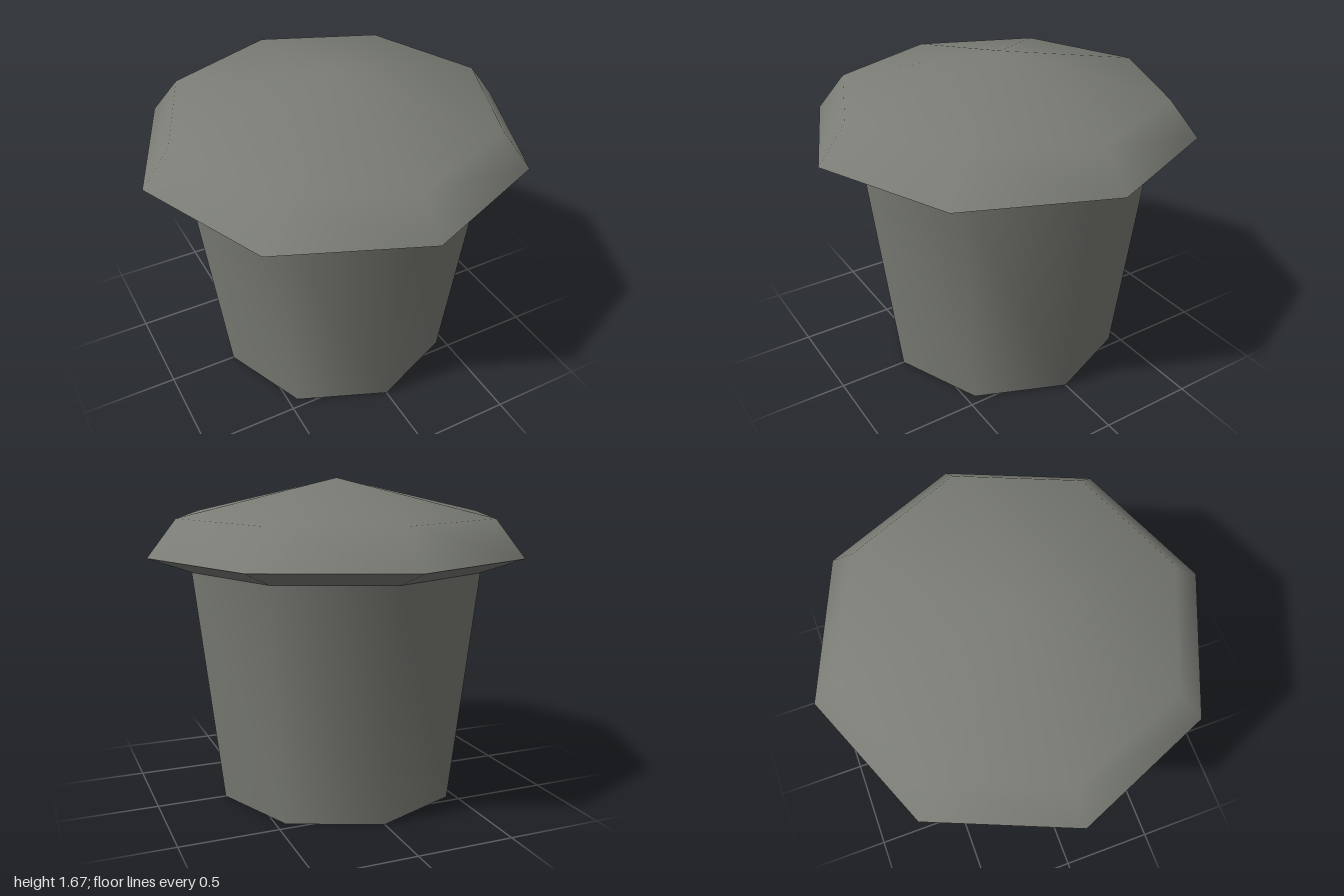
import * as THREE from 'three';
import { mergeVertices } from 'three/addons/utils/BufferGeometryUtils.js';

const SIDES = 8;

// Revolve a bottom-to-top [radius, y] profile, with smooth normals within the piece.
function turned(name, profile, material) {
  let geometry = new THREE.LatheGeometry(profile.map(([r, y]) => new THREE.Vector2(r, y)), SIDES);
  geometry.deleteAttribute('normal');
  geometry.deleteAttribute('uv');
  geometry = mergeVertices(geometry, 1e-4);
  geometry.computeVertexNormals();
  const mesh = new THREE.Mesh(geometry, material);
  mesh.name = name;
  return mesh;
}

export function createModel() {
  const group = new THREE.Group();
  group.name = 'cappedPost';
  const stone = new THREE.MeshStandardMaterial({ color: 0x7a7c75 });
  stone.name = 'grey stone';

  group.add(
    // Tapered body and its flat base
    turned('base', [[0, 0], [0.64, 0]], stone),
    turned('body', [[0.64, 0], [0.78, 1.215]], stone),
    // Overhanging cap: sloped underside, bevelled rim and low peak
    turned('capUnderside', [[0.78, 1.215], [1, 1.295]], stone),
    turned('cap', [[1, 1.295], [0.85, 1.485], [0, 1.675]], stone),
  );
  return group;
}
